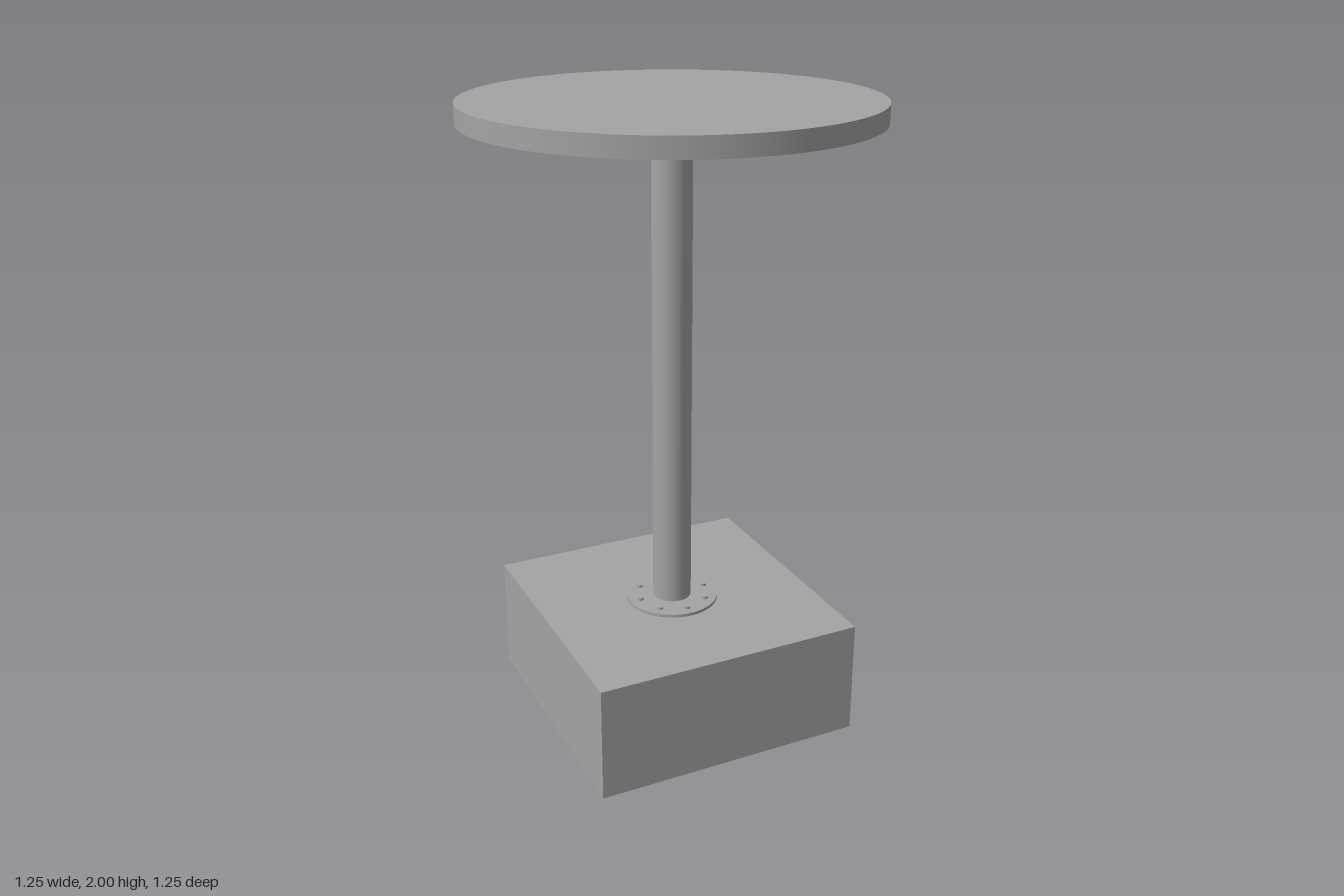
import * as THREE from 'three';
import { toCreasedNormals } from 'three/addons/utils/BufferGeometryUtils.js';

const material = new THREE.MeshStandardMaterial({ color: 0xa4a4a4 });

function add(parent, name, geometry, x = 0, y = 0, z = 0) {
  const mesh = new THREE.Mesh(geometry, material);
  mesh.name = name;
  mesh.position.set(x, y, z);
  parent.add(mesh);
  return mesh;
}

// Upright disc or post between two heights
function disc(radius, y0, y1, sides = 64) {
  return new THREE.CylinderGeometry(radius, radius, y1 - y0, sides).translate(0, (y0 + y1) / 2, 0);
}

// Flange with a ring of bolt heads; dir is the side the bolts stand on
function makeFlange(name, y, dir) {
  const flange = new THREE.Group();
  flange.name = name;
  flange.position.y = y;
  add(flange, 'flangePlate', disc(0.15, 0, 0.01), 0, dir < 0 ? -0.01 : 0, 0);
  for (let i = 0; i < 8; i++) {
    const a = (i * Math.PI) / 4;
    add(flange, 'bolt', new THREE.CylinderGeometry(0.01, 0.01, 0.008, 16),
      0.115 * Math.cos(a), dir * 0.014, 0.115 * Math.sin(a));
  }
  return flange;
}

// Square box, open on the +x side
function makeBox() {
  const box = new THREE.Group();
  box.name = 'baseBox';
  const h = 0.4375, top = 0.375, side = 0.039, t = 0.035;
  const rect = (path, x, y0, y1) =>
    path.moveTo(-x, y0).lineTo(x, y0).lineTo(x, y1).lineTo(-x, y1).closePath();
  const frame = rect(new THREE.Shape(), h, 0, top);
  frame.holes.push(rect(new THREE.Path(), h - side, t, top - t));
  const shell = new THREE.ExtrudeGeometry(frame, { depth: 2 * h - side, bevelEnabled: false });
  add(box, 'boxShell', shell.rotateY(Math.PI / 2), -h + side, 0, 0);
  add(box, 'boxBackWall', new THREE.BoxGeometry(side, top, 2 * h), -h + side / 2, top / 2, 0);
  return box;
}

// Round drum with a raised cap and a slot along x through its underside
function makeDrum() {
  const drum = new THREE.Group();
  drum.name = 'drum';
  drum.position.z = 0.004;
  const r = 0.308, slot = 0.18, slotTop = 0.115, floor = 0.04;
  const lathe = (points) => toCreasedNormals(
    new THREE.LatheGeometry(points.map(([x, y]) => new THREE.Vector2(x, y)), 72), 0.5);
  add(drum, 'drumBody', lathe([[0, slotTop], [r, slotTop], [r, 0.236], [r - 0.004, 0.24], [0, 0.24]]));
  add(drum, 'drumCap', lathe([[0.141, 0.24], [0.141, 0.277], [0.137, 0.286], [0.129, 0.29], [0, 0.29]]),
    0, 0, 0.004);

  // Two feet shaped as circle segments, either side of the slot
  const a = Math.asin(slot / r);
  const segment = new THREE.Shape().absarc(0, 0, r, a, Math.PI - a, false).closePath();
  for (const turn of [0, Math.PI]) {
    const foot = new THREE.ExtrudeGeometry(segment, {
      depth: slotTop - floor, bevelEnabled: false, curveSegments: 32,
    }).rotateX(-Math.PI / 2);
    add(drum, 'drumFoot', toCreasedNormals(foot, 0.5), 0, floor, 0).rotation.y = turn;
  }
  return drum;
}

export function createModel() {
  const model = new THREE.Group();
  model.name = 'pedestalTable';
  model.add(makeBox(), makeDrum());
  model.add(makeFlange('lowerFlange', 0.375, 1), makeFlange('upperFlange', 1.94, -1));
  add(model, 'post', disc(0.0622, 0.375, 1.94, 48));
  add(model, 'tableTop', disc(0.6235, 1.94, 2, 128));
  return model;
}
